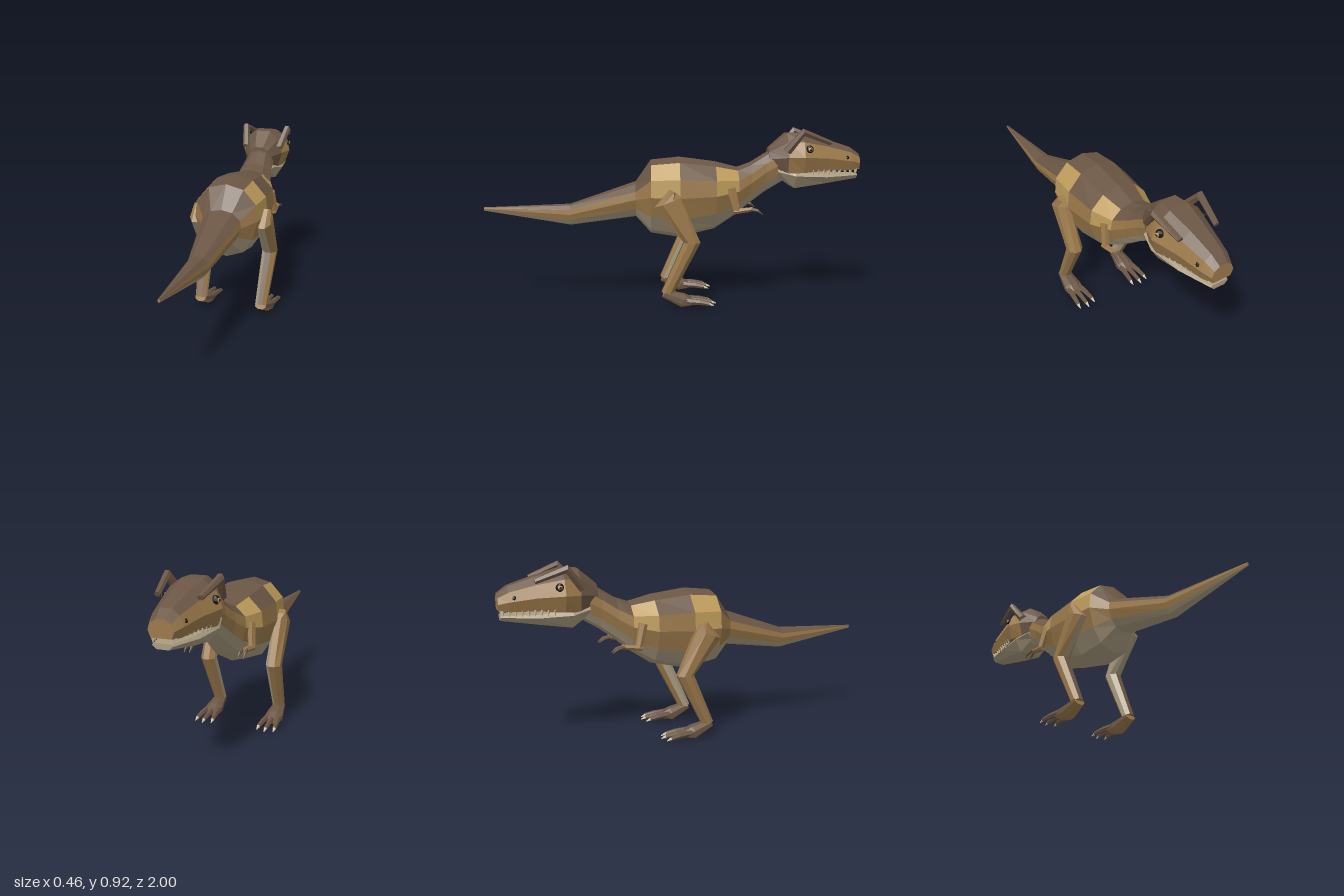
import * as THREE from 'three';

const material = (name, color) => Object.assign(new THREE.MeshStandardMaterial({ color }), { name });
const DARK = material('dark brown hide', 0x6b5644);
const MID = material('tan brown hide', 0x9c7a4b);
const LIGHT = material('golden hide', 0xbd9b5a);
const BELLY = material('pale belly', 0xab9d80);
const TOOTH = material('ivory', 0xd8cdb0);
const BLACK = material('black', 0x1c1713);

// Skin closed rings (clockwise, seen along their progress); pick(seg, col) gives each face its material.
function loft(name, rings, pick, capStart = MID, capEnd = MID) {
  const byMat = new Map();
  const tri = (mat, ...pts) => {
    if (!byMat.has(mat)) byMat.set(mat, []);
    pts.forEach(p => byMat.get(mat).push(p.x, p.y, p.z));
  };
  const n = rings[0].length;
  for (let i = 0; i < rings.length - 1; i++) {
    for (let j = 0; j < n; j++) {
      const k = (j + 1) % n, mat = pick(i, j);
      tri(mat, rings[i][j], rings[i][k], rings[i + 1][k]);
      tri(mat, rings[i][j], rings[i + 1][k], rings[i + 1][j]);
    }
  }
  const first = rings[0], last = rings[rings.length - 1];
  for (let j = 1; j < n - 1; j++) {
    tri(capStart, first[0], first[j + 1], first[j]);
    tri(capEnd, last[0], last[j], last[j + 1]);
  }
  const geo = new THREE.BufferGeometry(), pos = [], mats = [];
  for (const [mat, list] of byMat) {
    geo.addGroup(pos.length / 3, list.length / 3, mats.length);
    mats.push(mat);
    for (const v of list) pos.push(v);
  }
  geo.setAttribute('position', new THREE.Float32BufferAttribute(pos, 3));
  geo.computeVertexNormals();
  const mesh = new THREE.Mesh(geo, mats);
  mesh.name = name;
  return mesh;
}

// Mirrored cross-section: half profile of [x, drop] fractions; station = [z, top, bottom, halfWidth].
function sections(stations, half) {
  const left = half.filter(p => p[0] > 0).reverse().map(([x, d]) => [-x, d]);
  return stations.map(([z, top, bot, w]) =>
    [...half, ...left].map(([x, d]) => new THREE.Vector3(x * w, top + (bot - top) * d, z)));
}

// Faceted limb along a path of [x, y, z, radiusX, radiusAcross].
function limb(name, path, sides, pick, capEnd) {
  const rings = path.map(([x, y, z, rx, rw], i) => {
    const a = path[Math.max(i - 1, 0)], b = path[Math.min(i + 1, path.length - 1)];
    const d = new THREE.Vector3(0, b[1] - a[1], b[2] - a[2]).normalize();
    const w = new THREE.Vector3(1, 0, 0).cross(d);
    return Array.from({ length: sides }, (_, j) => {
      const t = (j + 0.5) / sides * Math.PI * 2;
      return new THREE.Vector3(x + rx * Math.sin(t), y, z).addScaledVector(w, rw * Math.cos(t));
    });
  });
  return loft(name, rings, pick, MID, capEnd);
}

function flat(name, geo, mat, x, y, z) {
  const g = geo.toNonIndexed();
  g.computeVertexNormals();
  const mesh = new THREE.Mesh(g, mat);
  mesh.name = name;
  mesh.position.set(x, y, z);
  return mesh;
}

// Tail, trunk and neck in one skin with golden side patches
function makeBody() {
  const half = [[0, 0], [0.55, 0.06], [0.95, 0.25], [1, 0.47], [0.83, 0.73], [0.53, 0.92], [0, 1]];
  const stations = [
    [1, 0.512, 0.494, 0.006], [0.54, 0.53, 0.415, 0.052], [0.19, 0.65, 0.46, 0.105],
    [0.11, 0.765, 0.37, 0.17], [-0.04, 0.78, 0.345, 0.182], [-0.23, 0.755, 0.39, 0.168],
    [-0.35, 0.725, 0.47, 0.125], [-0.42, 0.75, 0.53, 0.098], [-0.5, 0.8, 0.59, 0.08], [-0.6, 0.85, 0.65, 0.075]];
  return loft('body', sections(stations, half), (i, j) => {
    const row = Math.min(j, 11 - j);
    if (row === 0) return DARK;
    if (row >= 4) return BELLY;
    if (i === 3 || i === 5) return row < 3 ? LIGHT : MID;
    return row === 1 ? DARK : MID;
  });
}

function makeHead() {
  const head = new THREE.Group();
  head.name = 'head';
  const skull = [[0.36, 0], [0.78, 0.22], [1, 0.6], [0.8, 1]];
  head.add(loft('skull', sections([
    [-0.515, 0.825, 0.73, 0.065], [-0.61, 0.905, 0.695, 0.115], [-0.69, 0.905, 0.7, 0.143],
    [-0.82, 0.872, 0.71, 0.108], [-0.95, 0.83, 0.71, 0.08], [-1, 0.795, 0.715, 0.06]], skull),
  (i, j) => (j === 0 || j === 6 || j === 7 || i === 0 && j !== 3 ? DARK : MID), DARK));
  const jaw = [[0.85, 0], [1, 0.3], [0.6, 1]];
  head.add(loft('lowerJaw', sections([
    [-0.56, 0.715, 0.675, 0.085], [-0.65, 0.71, 0.615, 0.11], [-0.82, 0.69, 0.64, 0.09],
    [-0.99, 0.69, 0.665, 0.048]], jaw), () => BELLY, BELLY, BELLY));

  for (const s of [1, -1]) {
    // Bent brow horn
    head.add(limb('browHorn', [
      [s * 0.1, 0.81, -0.6, 0.024, 0.024], [s * 0.127, 0.912, -0.68, 0.02, 0.022],
      [s * 0.1, 0.855, -0.83, 0.015, 0.014]], 6, () => DARK, DARK));
    const eye = flat('eye', new THREE.SphereGeometry(0.021, 8, 6), BLACK, s * 0.118, 0.823, -0.715);
    const iris = flat('iris', new THREE.SphereGeometry(0.014, 8, 6), LIGHT, s * 0.127, 0.823, -0.716);
    const pupil = flat('pupil', new THREE.SphereGeometry(0.007, 6, 4), BLACK, s * 0.136, 0.823, -0.717);
    const nostril = flat('nostril', new THREE.SphereGeometry(0.012, 6, 4), BLACK, s * 0.074, 0.776, -0.925);
    head.add(eye, iris, pupil, nostril);
    // Upper teeth
    for (let i = 0; i < 9; i++) {
      const t = i / 8;
      const tooth = flat('tooth', new THREE.ConeGeometry(0.011, 0.035, 4), TOOTH,
        s * (0.099 - 0.051 * t), 0.699, -0.74 - 0.24 * t);
      tooth.rotation.x = Math.PI;
      head.add(tooth);
    }
  }
  return head;
}

function makeLeg(s) {
  const leg = new THREE.Group();
  leg.name = s > 0 ? 'leftLeg' : 'rightLeg';
  // Columns of the octagon: 7 front, 1 and 5 sides, 3 back
  leg.add(limb('thighAndShin', [
    [s * 0.19, 0.615, 0, 0.025, 0.02], [s * 0.185, 0.56, 0.025, 0.042, 0.075],
    [s * 0.184, 0.35, -0.1, 0.042, 0.047], [s * 0.173, 0.075, 0.03, 0.033, 0.032]], 8,
  (i, j) => {
    const inner = s > 0 ? [4, 5] : [0, 1];
    if (i > 0 && inner.includes(j)) return BELLY;
    if (j === 3) return i === 1 ? BELLY : i === 2 ? DARK : MID;
    return MID;
  }));
  leg.add(limb('foot', [
    [s * 0.174, 0.078, 0.045, 0.032, 0.022], [s * 0.175, 0.04, -0.055, 0.05, 0.036],
    [s * 0.175, 0.034, -0.1, 0.045, 0.02]], 8, (i, j) => (j > 1 && j < 5 ? MID : DARK)));
  for (const k of [-1, 0, 1]) {
    const x = s * 0.175 + k * 0.03, dx = k * 0.014, reach = k ? 0 : -0.015;
    leg.add(limb('toe', [
      [x, 0.042, -0.07, 0.016, 0.018], [x + dx * 0.6, 0.038, -0.14, 0.014, 0.015],
      [x + dx, 0.03, -0.19 + reach, 0.011, 0.011]], 6, () => DARK));
    leg.add(limb('toeClaw', [
      [x + dx, 0.03, -0.188 + reach, 0.009, 0.009],
      [x + dx * 1.1, 0.021, -0.215 + reach, 0.002, 0.002]], 5, () => TOOTH, TOOTH));
  }
  return leg;
}

function makeArm(s) {
  const arm = new THREE.Group();
  arm.name = s > 0 ? 'leftArm' : 'rightArm';
  arm.add(limb('upperArm', [
    [s * 0.132, 0.625, -0.305, 0.022, 0.026], [s * 0.146, 0.51, -0.335, 0.019, 0.02]], 6, () => MID));
  arm.add(limb('forearm', [
    [s * 0.146, 0.503, -0.32, 0.017, 0.016], [s * 0.14, 0.515, -0.42, 0.014, 0.012]], 6, () => MID));
  for (const k of [-1, 1]) {
    arm.add(limb('finger', [
      [s * 0.14 + k * 0.009, 0.516, -0.41, 0.008, 0.009],
      [s * 0.14 + k * 0.014, 0.508, -0.445, 0.007, 0.008],
      [s * 0.14 + k * 0.014, 0.488, -0.472, 0.002, 0.002]], 5, () => DARK));
  }
  return arm;
}

export function createModel() {
  const model = new THREE.Group();
  model.name = 'dinosaur';
  model.add(makeBody(), makeHead());
  for (const s of [1, -1]) model.add(makeLeg(s), makeArm(s));
  return model;
}
